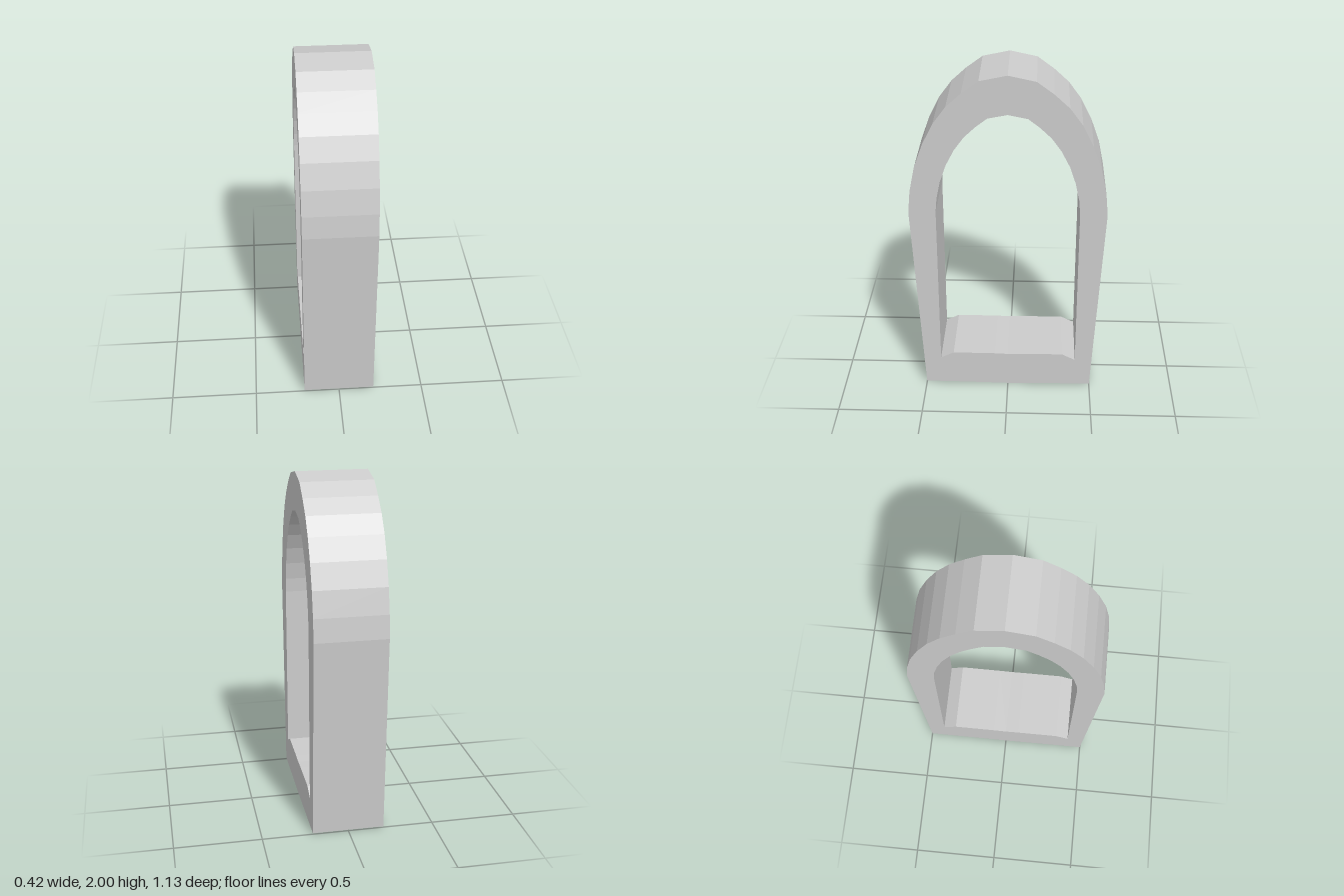
import * as THREE from 'three';

// Half outlines as [z, y], from the crown down to the middle of the sill
const OUTER = [
  [0, 2], [0.155, 1.967], [0.25, 1.897], [0.335, 1.819], [0.408, 1.72], [0.47, 1.597],
  [0.52, 1.458], [0.55, 1.313], [0.563, 1.18], [0.5, 0.006], [0.25, 0.004], [0, 0],
];
const INNER = [
  [0, 1.778], [0.11, 1.756], [0.175, 1.706], [0.24, 1.644], [0.295, 1.568], [0.343, 1.475],
  [0.378, 1.373], [0.4, 1.27], [0.408, 1.185], [0.408, 0.183], [0.33, 0.222], [0.08, 0.221], [0, 0.218],
];
const WIDTH = 0.416;

// Close a half outline by mirroring it, running anticlockwise from the crown
function mirrored(half) {
  const other = half.slice(1, -1).reverse().map(([z, y]) => [-z, y]);
  return [...half, ...other].map(([z, y]) => new THREE.Vector2(-z, y));
}

export function createModel() {
  const model = new THREE.Group();
  model.name = 'archedWindowFrame';

  // Arched frame with tapering jambs, a sill and an open middle
  const profile = new THREE.Shape(mirrored(OUTER));
  profile.holes.push(new THREE.Path(mirrored(INNER)));
  const geometry = new THREE.ExtrudeGeometry(profile, { depth: WIDTH, bevelEnabled: false });
  geometry.translate(0, 0, -WIDTH / 2);
  geometry.rotateY(Math.PI / 2);

  const material = new THREE.MeshStandardMaterial({ color: 0xcccccc, flatShading: true });
  const frame = new THREE.Mesh(geometry, material);
  frame.name = 'archFrame';
  model.add(frame);
  return model;
}
